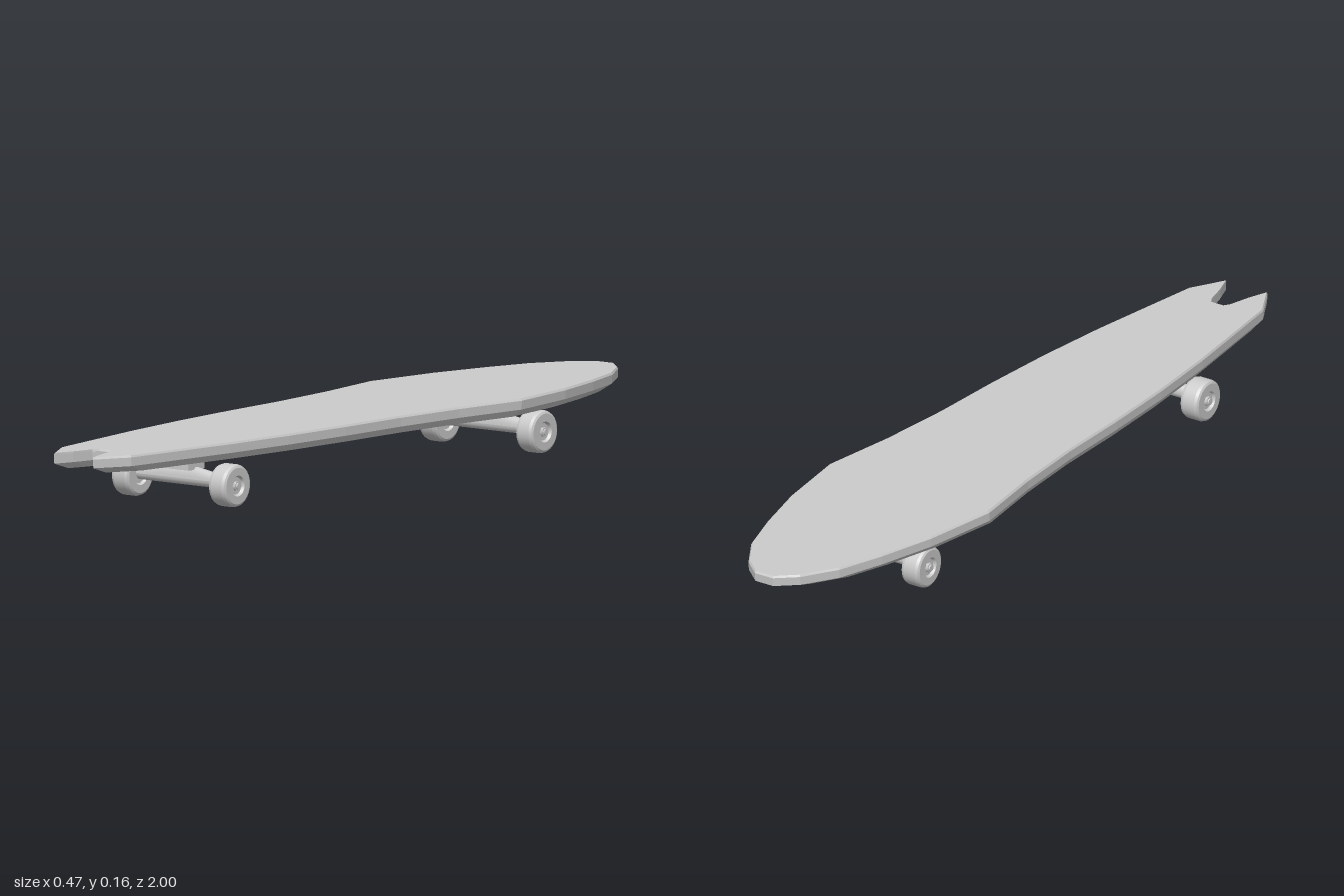
import * as THREE from 'three';

const grey = new THREE.MeshStandardMaterial({ color: 0xcccccc });
const flat = new THREE.MeshStandardMaterial({ color: 0xcccccc, flatShading: true, side: THREE.DoubleSide });

function add(parent, name, geometry, x = 0, y = 0, z = 0, material = grey) {
  const mesh = new THREE.Mesh(geometry, material);
  mesh.name = name;
  mesh.position.set(x, y, z);
  parent.add(mesh);
  return mesh;
}

// Half outline of the deck (x, z): from the tail notch round to the nose
const half = [
  [0.018, 0.88], [0.028, 0.895], [0.042, 0.95], [0.06, 1], [0.108, 0.915], [0.127, 0.78],
  [0.152, 0.6], [0.172, 0.4], [0.184, 0.2], [0.19, 0], [0.206, -0.2], [0.234, -0.4],
  [0.205, -0.6], [0.167, -0.75], [0.128, -0.87], [0.075, -0.957], [0.026, -1],
];

// Deck: the outline stacked in layers, chamfered widely below and finely above
function deckGeometry() {
  const outline = [...half, ...half.map(([x, z]) => [-x, z]).reverse()];
  const layers = [[0.95, 0.948, 0.113], [1, 0.998, 0.129], [1, 1, 0.15], [0.982, 0.997, 0.155]];
  const n = outline.length;
  const positions = [];
  const index = [];
  for (const [sx, sz, y] of layers)
    for (const [x, z] of outline) positions.push(x * sx, y, z * sz);
  for (let k = 0; k < layers.length - 1; k++)
    for (let i = 0; i < n; i++) {
      const a = k * n + i, b = k * n + (i + 1) % n;
      index.push(a, a + n, b, b, a + n, b + n);
    }
  const faces = THREE.ShapeUtils.triangulateShape(outline.map(([x, z]) => new THREE.Vector2(x, z)), []);
  const top = (layers.length - 1) * n;
  for (const [a, b, c] of faces) {
    const [p, q, r] = [outline[a], outline[b], outline[c]];
    const turn = (q[0] - p[0]) * (r[1] - p[1]) - (q[1] - p[1]) * (r[0] - p[0]);
    const [u, v] = turn < 0 ? [b, c] : [c, b];
    index.push(top + a, top + u, top + v, a, v, u);
  }
  const geometry = new THREE.BufferGeometry();
  geometry.setAttribute('position', new THREE.Float32BufferAttribute(positions, 3));
  geometry.setIndex(index);
  const result = geometry.toNonIndexed();
  result.computeVertexNormals();
  return result;
}

// Hanger: a bar along x whose upper half swells towards the middle
function hangerGeometry() {
  const geometry = new THREE.CylinderGeometry(0.0165, 0.0165, 0.25, 24, 20).rotateZ(Math.PI / 2);
  const p = geometry.attributes.position;
  for (let i = 0; i < p.count; i++) {
    const swell = 1 + 0.75 * THREE.MathUtils.clamp((0.125 - Math.abs(p.getX(i))) / 0.075, 0, 1);
    if (p.getY(i) > 0) p.setY(i, p.getY(i) * swell);
  }
  geometry.computeVertexNormals();
  return geometry;
}

// Wheel: rounded tyre with recessed faces, axis along x
function wheelGeometry() {
  const side = [[0.008, 0.019], [0.021, 0.019], [0.025, 0.026], [0.044, 0.026], [0.049, 0.023], [0.0515, 0.016]];
  const profile = [...side.map(([r, x]) => [r, -x]), ...side.slice().reverse()];
  // Each band is its own lathe point pair so the rims stay crisp
  const points = [];
  profile.forEach(([r, x], i) => {
    points.push(new THREE.Vector2(r, x));
    if (i > 0 && i < profile.length - 1) points.push(new THREE.Vector2(r + 1e-5, x + 1e-5));
  });
  return new THREE.LatheGeometry(points, 28).rotateZ(Math.PI / 2);
}

function truck(name, z, plateShift) {
  const group = new THREE.Group();
  group.name = name;
  group.position.z = z;
  add(group, 'basePlate', new THREE.BoxGeometry(0.116, 0.011, 0.172), 0, 0.108, plateShift);
  add(group, 'mountingBlock', new THREE.BoxGeometry(0.096, 0.024, 0.06), 0, 0.092, 0);
  add(group, 'hanger', hangerGeometry(), 0, 0.0575, 0);
  add(group, 'axle', new THREE.CylinderGeometry(0.008, 0.008, 0.358, 16).rotateZ(Math.PI / 2), 0, 0.0515, 0);
  for (const s of [1, -1]) {
    const label = s > 0 ? 'left' : 'right';
    add(group, label + 'Wheel', wheelGeometry(), s * 0.149, 0.0515, 0);
    add(group, label + 'Nut', new THREE.CylinderGeometry(0.012, 0.012, 0.008, 6).rotateZ(Math.PI / 2), s * 0.171, 0.0515, 0);
  }
  return group;
}

export function createModel() {
  const model = new THREE.Group();
  model.name = 'skateboard';
  add(model, 'deck', deckGeometry(), 0, 0, 0, flat);
  model.add(truck('frontTruck', 0.595, 0), truck('rearTruck', -0.56, 0.01));
  return model;
}
